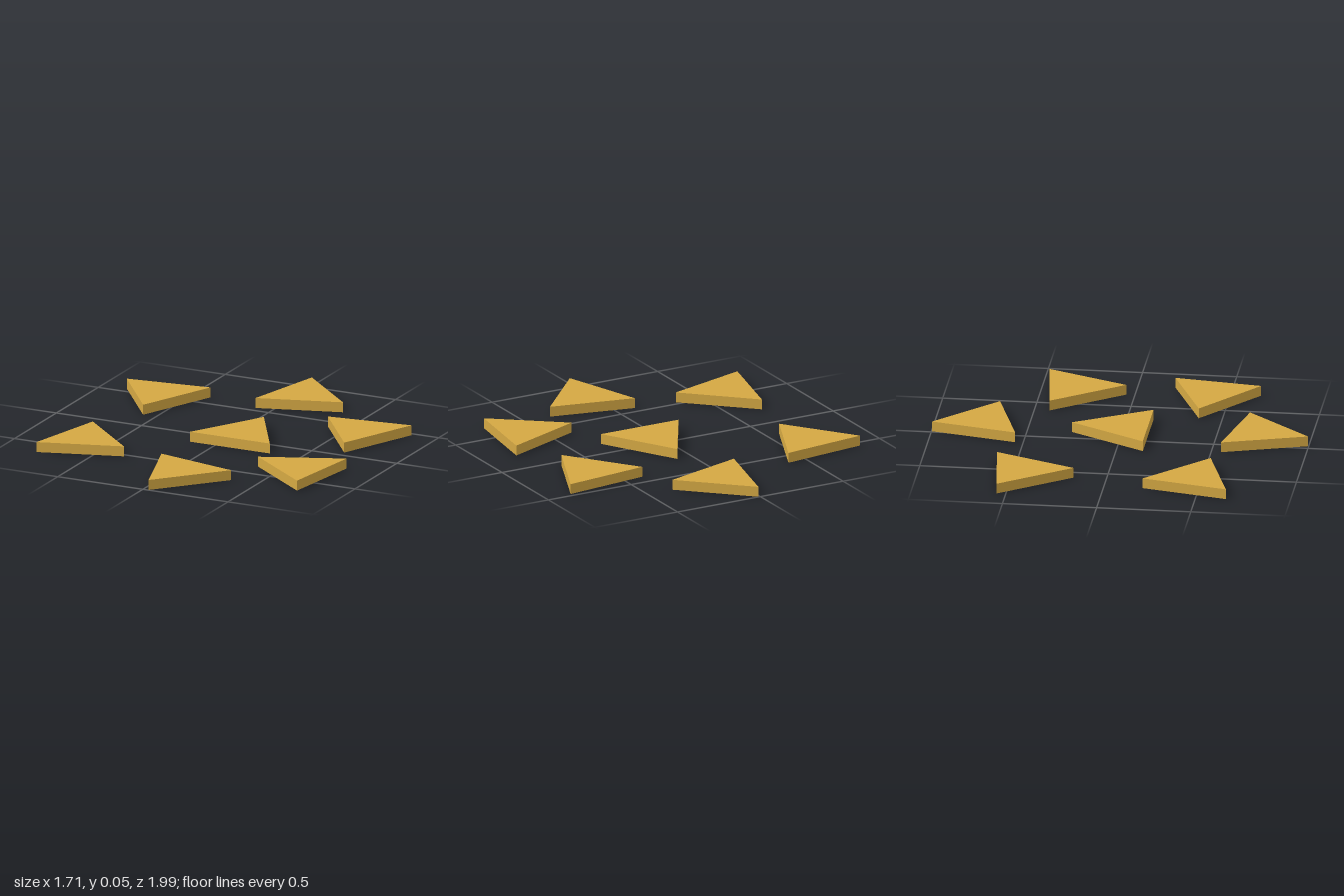
import * as THREE from 'three';

const RADIUS = 0.27;
const THICKNESS = 0.055;

// x, z and turn in degrees of each chip
const CHIPS = [
  [0.089, 0.006, 60],
  [0.088, -0.739, 76.8],
  [0.636, -0.314, 6.8],
  [0.637, 0.412, 22.2],
  [0.089, 0.733, -12.2],
  [-0.607, 0.464, 76.8],
  [-0.608, -0.442, 6.8],
];

export function createModel() {
  const model = new THREE.Group();
  model.name = 'triangularChips';

  // Flat equilateral prism shared by every chip
  const prism = new THREE.CylinderGeometry(RADIUS, RADIUS, THICKNESS, 3);
  prism.translate(0, THICKNESS / 2, 0);
  const golden = new THREE.MeshStandardMaterial({ color: 0xd4a843, flatShading: true });

  // One chip in the middle, six scattered around it
  CHIPS.forEach(([x, z, turn], i) => {
    const chip = new THREE.Mesh(prism, golden);
    chip.name = i === 0 ? 'centreChip' : `outerChip${i}`;
    chip.position.set(x, 0, z);
    chip.rotation.y = THREE.MathUtils.degToRad(turn);
    model.add(chip);
  });

  return model;
}
